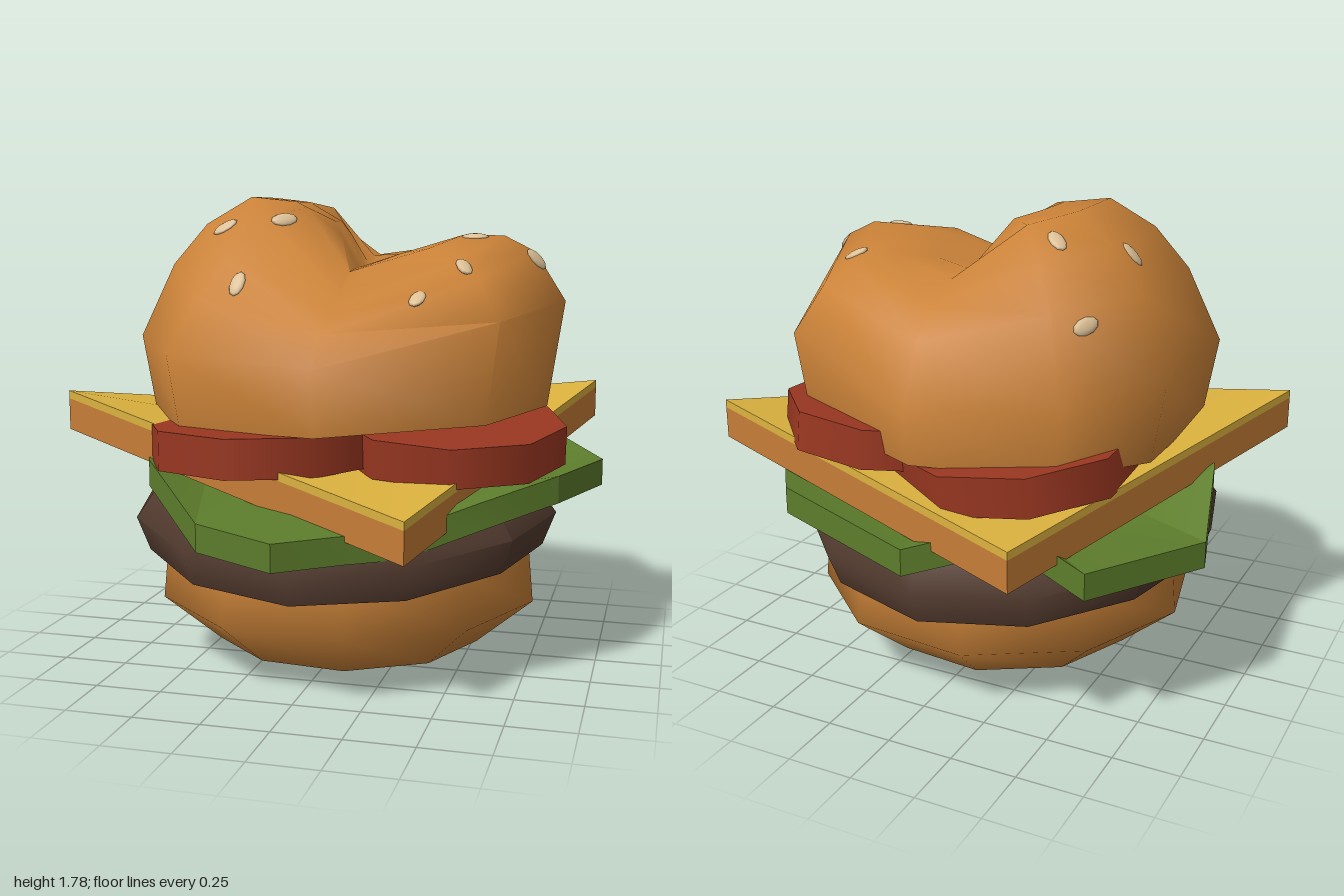
import * as THREE from 'three';
import { toCreasedNormals } from 'three/addons/utils/BufferGeometryUtils.js';

const mat = (name, color) => Object.assign(new THREE.MeshStandardMaterial({ color }), { name });

// Piecewise-linear lookup in [[x, y], ...]
function lookup(table, x) {
  if (x <= table[0][0]) return table[0][1];
  for (let i = 1; i < table.length; i++) {
    const [x0, y0] = table[i - 1], [x1, y1] = table[i];
    if (x <= x1) return y0 + (y1 - y0) * (x - x0) / (x1 - x0);
  }
  return table[table.length - 1][1];
}

// Skin closed rings of [x, y, z], listed bottom to top; a one-point ring closes an end
function loft(rings, crease) {
  const n = Math.max(...rings.map(r => r.length)), out = [];
  const at = (r, j) => r.length === 1 ? r[0] : r[j % n];
  for (let i = 0; i + 1 < rings.length; i++) {
    const lo = rings[i], hi = rings[i + 1];
    for (let j = 0; j < n; j++) {
      const a = at(lo, j), b = at(lo, j + 1), c = at(hi, j + 1), d = at(hi, j);
      if (hi.length > 1) out.push(...a, ...d, ...c);
      if (lo.length > 1) out.push(...a, ...(hi.length > 1 ? c : d), ...b);
    }
  }
  const g = new THREE.BufferGeometry();
  g.setAttribute('position', new THREE.Float32BufferAttribute(out, 3));
  g.computeVertexNormals();
  return toCreasedNormals(g, crease);
}

// Ring of n points, with the height given by angle
const ring = (n, r, y, turn = 0) => Array.from({ length: n }, (_, i) => {
  const a = i / n * Math.PI * 2 + turn;
  return [Math.cos(a) * r, y(a), Math.sin(a) * r];
});

// Crown outline in x, z, and the rules for its two-lobed top
const CX = 0.07;
const outline = [[0.85, 0], [0.67, 0.46], [0.08, 0.76], [-0.52, 0.58], [-0.75, 0.26],
  [-0.76, -0.36], [-0.52, -0.7], [0, -0.85], [0.6, -0.6]];
const rimY = x => lookup([[-0.76, 1.25], [-0.4, 1.19], [0.1, 1.19], [0.85, 1.39]], x);
const lobe = x => lookup([[-0.76, 0.5], [-0.6, 0.56], [-0.4, 0.61], [-0.28, 0.6], [-0.05, 0.53],
  [0.07, 0.32], [0.4, 0.35], [0.61, 0.38], [0.85, 0.4]], x);
const dome = t => lookup([[0, 1], [0.3, 1], [0.5, 0.97], [0.7, 0.8], [0.85, 0.55], [1, 0]], t);
const fall = z => lookup([[-0.85, 0.9], [-0.67, 0.9], [-0.47, 0.95], [-0.3, 1], [0.2, 1],
  [0.48, 0.66], [0.75, 0.62]], z);
const level = t => outline.map(([ox, oz]) => {
  const x = CX + (ox - CX) * t, z = oz * t;
  return [x, rimY(x) + lobe(x) * dome(t) * fall(z), z];
});

export function createModel() {
  const model = new THREE.Group();
  const bun = mat('bun', 0xca8238);
  const pattyMat = mat('patty', 0x533b2f);
  const green = mat('lettuce', 0x5d7d2c);
  const yellow = mat('cheese', 0xdcb23f);
  const orange = mat('cheeseEdge', 0xc67d36);
  const red = mat('tomato', 0x9a3721);
  const seedMat = mat('seed', 0xdcc096);
  const add = (name, geometry, material, parent = model) => {
    const m = new THREE.Mesh(geometry, material);
    m.name = name;
    parent.add(m);
    return m;
  };

  // Bottom bun
  add('bottomBun', loft([
    [[0, 0, 0]], ring(10, 0.53, () => 0.055, 0.1), ring(10, 0.75, () => 0.24, 0.1),
    ring(10, 0.73, a => 0.43 + 0.025 * Math.cos(2 * a), 0.1), [[0, 0.45, 0]],
  ], 1.3), bun).position.x = 0.015;

  // Patty, bent down at the front and back
  const bend = (y, k) => a => y + k * Math.cos(2 * a);
  add('patty', loft([
    [[0, 0.43, 0]], ring(12, 0.785, bend(0.41, 0.04)), ring(12, 0.835, bend(0.54, 0.04)),
    ring(12, 0.75, bend(0.67, 0.02)), [[0, 0.7, 0]],
  ], 1.05), pattyMat);

  // Lettuce leaf: ragged rim as x, z, lower y
  const rim = [[1, -0.08, 0.68], [0.87, 0.3, 0.68], [0.62, 0.56, 0.62], [0.38, 0.7, 0.54],
    [0.2, 0.82, 0.54], [0, 0.98, 0.54], [-0.28, 0.93, 0.58], [-0.6, 0.57, 0.72],
    [-0.85, -0.05, 0.76], [-0.93, -0.37, 0.6], [-0.65, -0.79, 0.6], [-0.35, -0.74, 0.7],
    [-0.04, -0.95, 0.63], [0.5, -0.84, 0.72], [0.78, -0.45, 0.72]];
  const leaf = (s, k, dy) => rim.map(([x, z, y]) => [x * s, 0.7 + (y - 0.7) * k + dy, z * s]);
  add('lettuce', loft([
    [[0, 0.69, 0]], leaf(0.72, 0.3, 0), leaf(1, 1, 0),
    leaf(1, 1, 0.1), leaf(0.72, 0.3, 0.04), [[0, 0.73, 0]],
  ], 0.3), green);

  // Cheese slice with alternately raised and drooping corners
  const corners = [[0.43, 0.57, 0.89], [-1, 0.89, 0.4], [-0.46, 0.67, -0.98], [0.93, 0.87, -0.61]];
  const slice = dy => corners.map(([x, y, z]) => [x, y + dy, z]);
  const cheese = new THREE.Group();
  cheese.name = 'cheese';
  model.add(cheese);
  add('cheeseTop', loft([slice(0.12), slice(0.15), [[0, 0.84, 0]]], 0.5), yellow, cheese);
  add('cheeseSides', loft([slice(0), slice(0.12)], 0.3), orange, cheese);
  add('cheeseUnderside', loft([[[0, 0.74, 0]], slice(0)], 0.5), yellow, cheese);

  // Tomato slices: x, y, z, radius, turn, tilt about x, tilt about z
  [[-0.23, 0.875, 0.35, 0.44, 0, 0, 0], [0.45, 0.88, 0.15, 0.43, 0.17, 0.1, -0.03],
    [0.29, 0.98, -0.4, 0.42, 0.58, 0.07, 0.06], [-0.22, 0.93, -0.41, 0.45, 0.17, -0.04, -0.08],
  ].forEach(([x, y, z, r, turn, tx, tz], i) => {
    const geo = new THREE.CylinderGeometry(r, r, 0.145, 9).rotateY(turn);
    const t = add('tomatoSlice' + (i + 1), geo, red);
    t.position.set(x, y, z);
    t.rotation.set(tx, 0, tz);
  });

  // Top bun: faceted outline under a dome split by a crease
  const base = outline.map(([x, z]) => [x * 0.93, 0.965 + 0.03 * x - 0.02 * z, z * 0.96]);
  const crown = add('topBun', loft([
    [[CX, 0.96, 0]], base, ...[1, 0.85, 0.7, 0.5, 0.3, 0.12].map(level), [[CX, 1.51, 0]],
  ], 1.25), bun);

  // Sesame seeds lying on the crown: x, z, heading
  const seeds = new THREE.Group();
  seeds.name = 'sesameSeeds';
  model.add(seeds);
  const seedGeo = new THREE.SphereGeometry(1, 10, 6).scale(0.052, 0.012, 0.03);
  const down = new THREE.Vector3(0, -1, 0), up = new THREE.Vector3(0, 1, 0);
  [[-0.52, -0.51, 1.2], [-0.34, -0.35, -0.7], [-0.54, -0.15, 0.2], [-0.41, 0.24, 0.4],
    [-0.17, 0.26, 0.7], [-0.28, 0.48, 1.4], [0.51, -0.3, 0.2], [0.51, 0.03, 0],
    [0.74, 0.02, 0.2], [0.52, 0.33, -1.1], [0.38, 0.47, 1.5],
  ].forEach(([x, z, heading], i) => {
    const [hit] = new THREE.Raycaster(new THREE.Vector3(x, 3, z), down).intersectObject(crown);
    const s = add('seed' + (i + 1), seedGeo, seedMat, seeds);
    s.position.copy(hit.point);
    s.quaternion.setFromUnitVectors(up, hit.face.normal);
    s.rotateY(heading);
  });

  return model;
}
